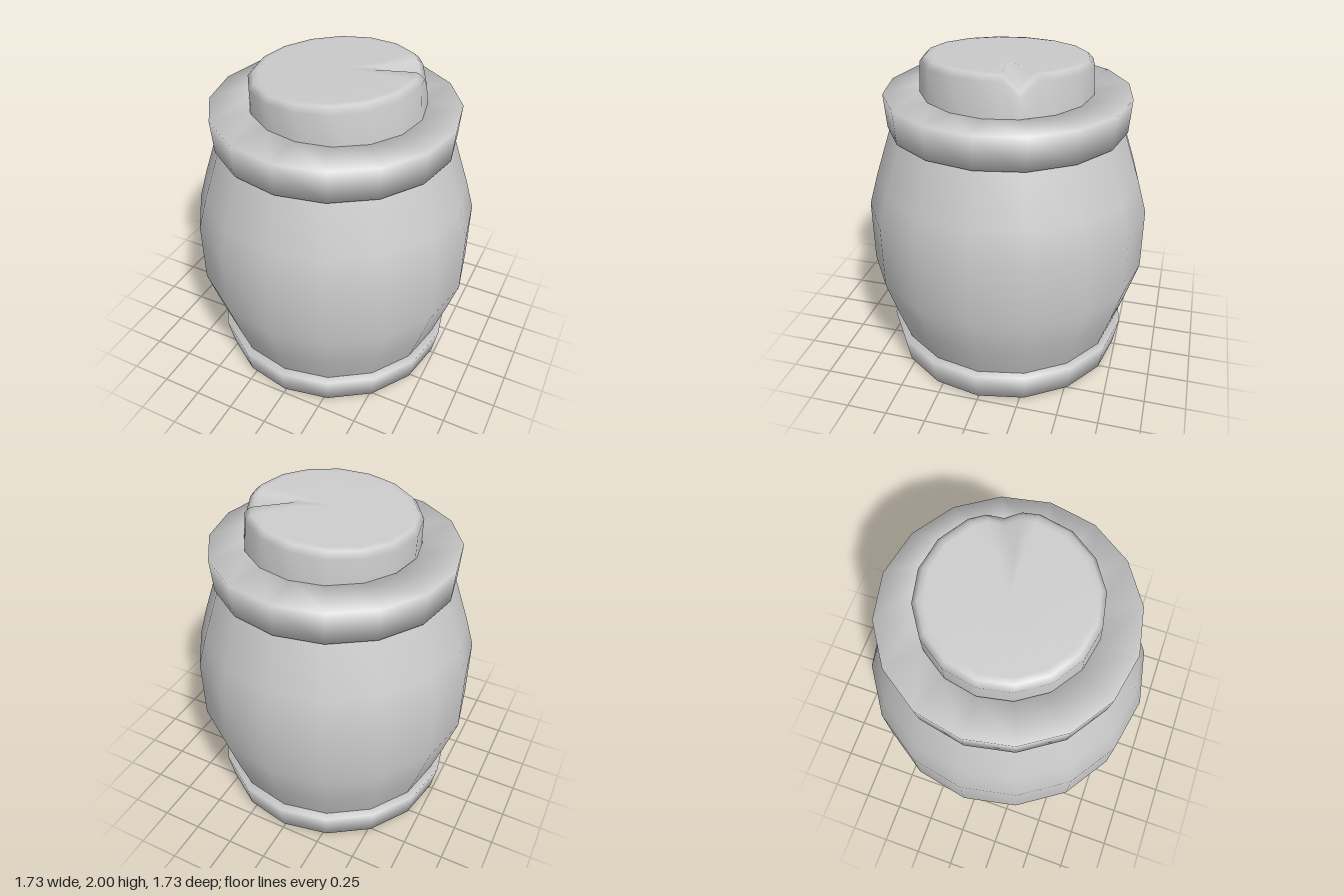
import * as THREE from 'three';
import { mergeVertices } from 'three/addons/utils/BufferGeometryUtils.js';

const SIDES = 16;
const material = new THREE.MeshStandardMaterial({ color: 0xcccccc });

// Welds a geometry and gives it smooth normals across its seam
function smooth(geometry) {
  geometry.deleteAttribute('uv');
  geometry.deleteAttribute('normal');
  const welded = mergeVertices(geometry, 1e-4);
  welded.computeVertexNormals();
  return welded;
}

function lathe(profile, sides = SIDES) {
  return new THREE.LatheGeometry(profile.map(([r, y]) => new THREE.Vector2(r, y)), sides);
}

function part(name, geometry) {
  const mesh = new THREE.Mesh(geometry, material);
  mesh.name = name;
  return mesh;
}

// Stopper with a small wedge pressed into its rim
function stopperGeometry() {
  const profile = [[0.515, 0], [0.506, 0.232], [0.475, 0.264], [0.44, 0.268], [0.22, 0.268], [0, 0.268]];
  const notchDepth = [0, 0.085, 0.095, 0.08, 0, 0];
  const steps = SIDES * 2, notchStep = 10;
  const geometry = lathe(profile, steps);
  const pos = geometry.attributes.position;
  const flatten = Math.cos(Math.PI / SIDES);
  for (let i = 0; i <= steps; i++) {
    for (let j = 0; j < profile.length; j++) {
      const k = i * profile.length + j;
      // Odd columns lie on the middle of each of the sixteen sides
      if (i % 2) pos.setXYZ(k, pos.getX(k) * flatten, pos.getY(k), pos.getZ(k) * flatten);
      if (i === notchStep) pos.setY(k, pos.getY(k) - notchDepth[j]);
    }
  }
  return smooth(geometry);
}

export function createModel() {
  const model = new THREE.Group();
  model.name = 'barrelJar';

  // Bulging body, ending inside both rings
  model.add(part('body', smooth(lathe([
    [0.64, 0.03], [0.72, 0.2], [0.79, 0.41], [0.865, 0.66], [0.865, 1.05],
    [0.81, 1.24], [0.703, 1.56], [0.64, 1.7],
  ]))));

  // Recessed underside
  const bottom = new THREE.CircleGeometry(0.62, SIDES);
  bottom.rotateX(Math.PI / 2);
  bottom.translate(0, 0.035, 0);
  model.add(part('bottomDisc', bottom));

  // Rings with a four-cornered section and soft shading
  model.add(part('bottomRing', smooth(lathe([
    [0.565, 0], [0.735, 0.02], [0.77, 0.203], [0.58, 0.203], [0.565, 0],
  ]))));
  model.add(part('topRing', smooth(lathe([
    [0.5, 1.555], [0.72, 1.555], [0.735, 1.757], [0.5, 1.772], [0.5, 1.555],
  ]))));

  // Stopper, slightly tilted
  const stopper = part('stopper', stopperGeometry());
  stopper.position.set(0.022, 1.705, 0);
  stopper.rotation.z = 0.06;
  model.add(stopper);

  return model;
}
